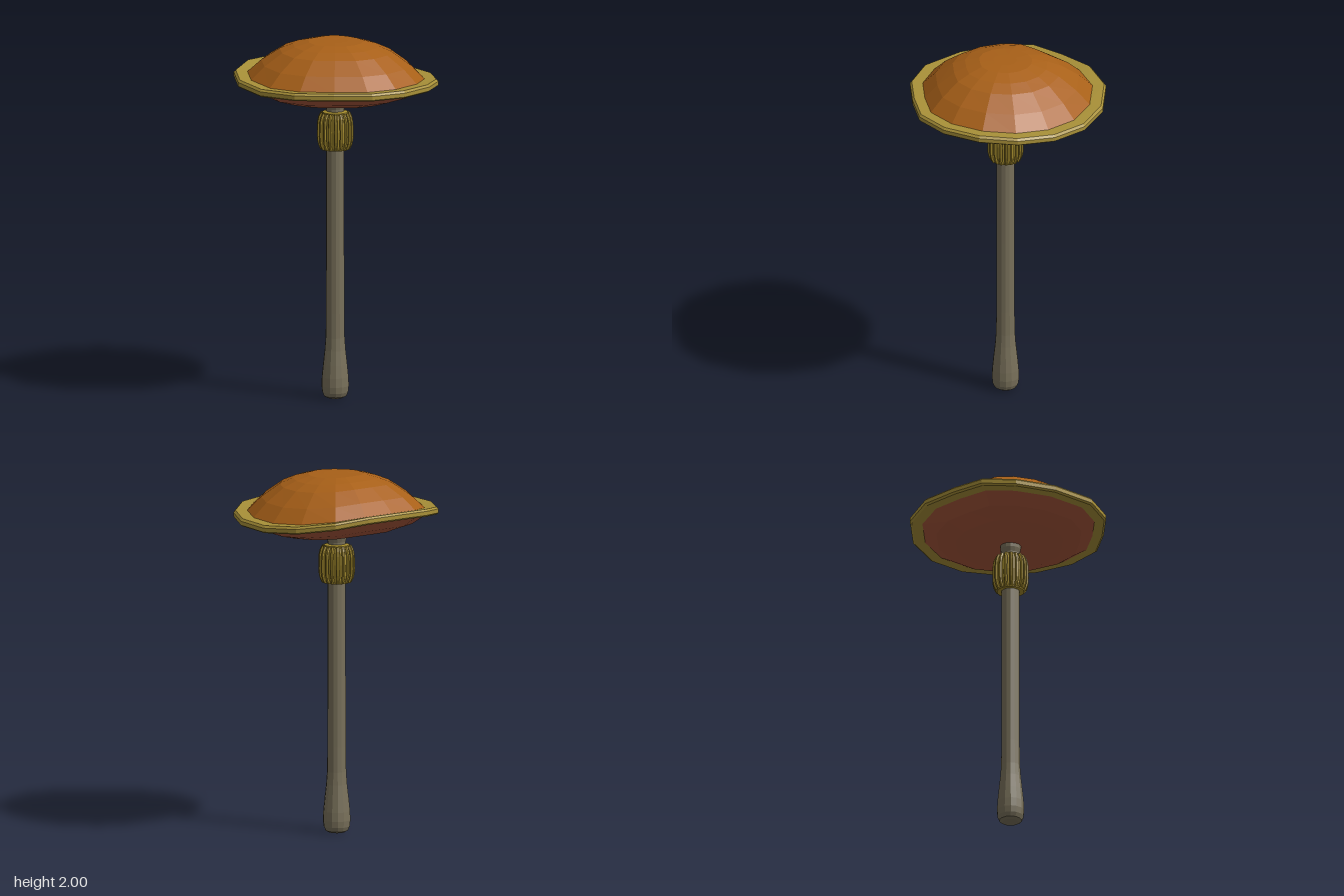
import * as THREE from 'three';

const mat = (color, extra = {}) => new THREE.MeshStandardMaterial({ color, flatShading: true, ...extra });
const ORANGE = mat(0xa86018), RUST = mat(0xa5553a), GOLD = mat(0xa89038), RIB = mat(0xa38a2c);
const STEM = mat(0x78705a);

// Uneven rim outline, clockwise from the back: x, z, height
const CENTRE = [-0.025, -0.005];
const RIM_Y = 1.785;
const OUTLINE = [
  [-0.02, -0.56, 1.755], [0.195, -0.52, 1.76], [0.375, -0.40, 1.77], [0.495, -0.225, 1.782],
  [0.535, -0.01, 1.785], [0.49, 0.19, 1.788], [0.35, 0.346, 1.788], [0.185, 0.49, 1.785],
  [-0.025, 0.555, 1.785], [-0.27, 0.495, 1.79], [-0.455, 0.36, 1.80], [-0.54, 0.19, 1.82],
  [-0.535, -0.01, 1.825], [-0.51, -0.225, 1.825], [-0.42, -0.40, 1.80], [-0.235, -0.52, 1.77],
];

// Sweep a profile of [fraction of outline, y] around the uneven outline
function capSurface(name, profile, material) {
  const point = ([t, y], j) => {
    const [x, z, h] = OUTLINE[j % OUTLINE.length];
    return [
      CENTRE[0] + (x - CENTRE[0]) * t,
      y + (h - RIM_Y) * t * t,
      CENTRE[1] + (z - CENTRE[1]) * t,
    ];
  };
  const pos = [];
  for (let i = 0; i < profile.length - 1; i++) {
    const p = profile[i], q = profile[i + 1];
    for (let j = 0; j < OUTLINE.length; j++) {
      const a = point(p, j), b = point(p, j + 1), c = point(q, j), d = point(q, j + 1);
      if (p[0] > 0) pos.push(...a, ...b, ...c);
      if (q[0] > 0) pos.push(...b, ...d, ...c);
    }
  }
  const geo = new THREE.BufferGeometry();
  geo.setAttribute('position', new THREE.Float32BufferAttribute(pos, 3));
  geo.computeVertexNormals();
  const mesh = new THREE.Mesh(geo, material);
  mesh.name = name;
  return mesh;
}

function lathe(name, profile, sides, material) {
  const geo = new THREE.LatheGeometry(profile.map(([r, y]) => new THREE.Vector2(r, y)), sides);
  const mesh = new THREE.Mesh(geo, material);
  mesh.name = name;
  return mesh;
}

export function createModel() {
  const model = new THREE.Group();
  model.name = 'mushroom';

  // Cap: faceted dome, shallow underside and a flat bevelled rim
  model.add(capSurface('capTop',
    [[0, 2.0], [0.12, 2.0], [0.27, 1.997], [0.42, 1.975], [0.55, 1.945], [0.73, 1.875], [0.88, 1.795]], ORANGE));
  model.add(capSurface('capUnderside',
    [[0.88, 1.765], [0.74, 1.715], [0.55, 1.682], [0.27, 1.666], [0, 1.664]], RUST));
  model.add(capSurface('capRim',
    [[0.84, 1.802], [0.98, 1.806], [1, 1.794], [1, 1.772], [0.98, 1.764], [0.84, 1.764], [0.84, 1.802]], GOLD));

  // Everything below the cap shares the stem axis
  const stalk = new THREE.Group();
  stalk.name = 'stalk';
  stalk.position.set(-0.03, 0, -0.005);
  model.add(stalk);

  // Stem with a swollen, rounded foot and a flared neck
  stalk.add(lathe('stem', [
    [0, 0], [0.045, 0.002], [0.062, 0.012], [0.072, 0.035], [0.076, 0.07], [0.074, 0.12],
    [0.067, 0.19], [0.058, 0.27], [0.053, 0.34], [0.051, 0.48], [0.05, 0.9], [0.05, 1.62],
    [0.057, 1.645], [0.058, 1.68],
  ], 14, STEM));

  // Barrel-shaped collar: a core ringed with curved ribs
  const collar = new THREE.Group();
  collar.name = 'collar';
  stalk.add(collar);
  collar.add(lathe('collarCore', [
    [0.048, 1.395], [0.075, 1.393], [0.078, 1.408], [0.078, 1.43], [0.083, 1.5],
    [0.078, 1.57], [0.07, 1.59], [0.07, 1.602], [0.048, 1.608],
  ], 16, RIB));

  const arc = new THREE.CatmullRomCurve3([
    [0.074, 1.398], [0.088, 1.43], [0.091, 1.5], [0.087, 1.565], [0.073, 1.597],
  ].map(([r, y]) => new THREE.Vector3(r, y, 0)));
  const ribGeo = new THREE.TubeGeometry(arc, 8, 0.01, 6);
  const ribs = 18;
  for (let i = 0; i < ribs; i++) {
    const rib = new THREE.Mesh(ribGeo, RIB);
    rib.name = 'collarRib';
    rib.rotation.y = (i / ribs) * Math.PI * 2;
    collar.add(rib);
  }

  return model;
}
